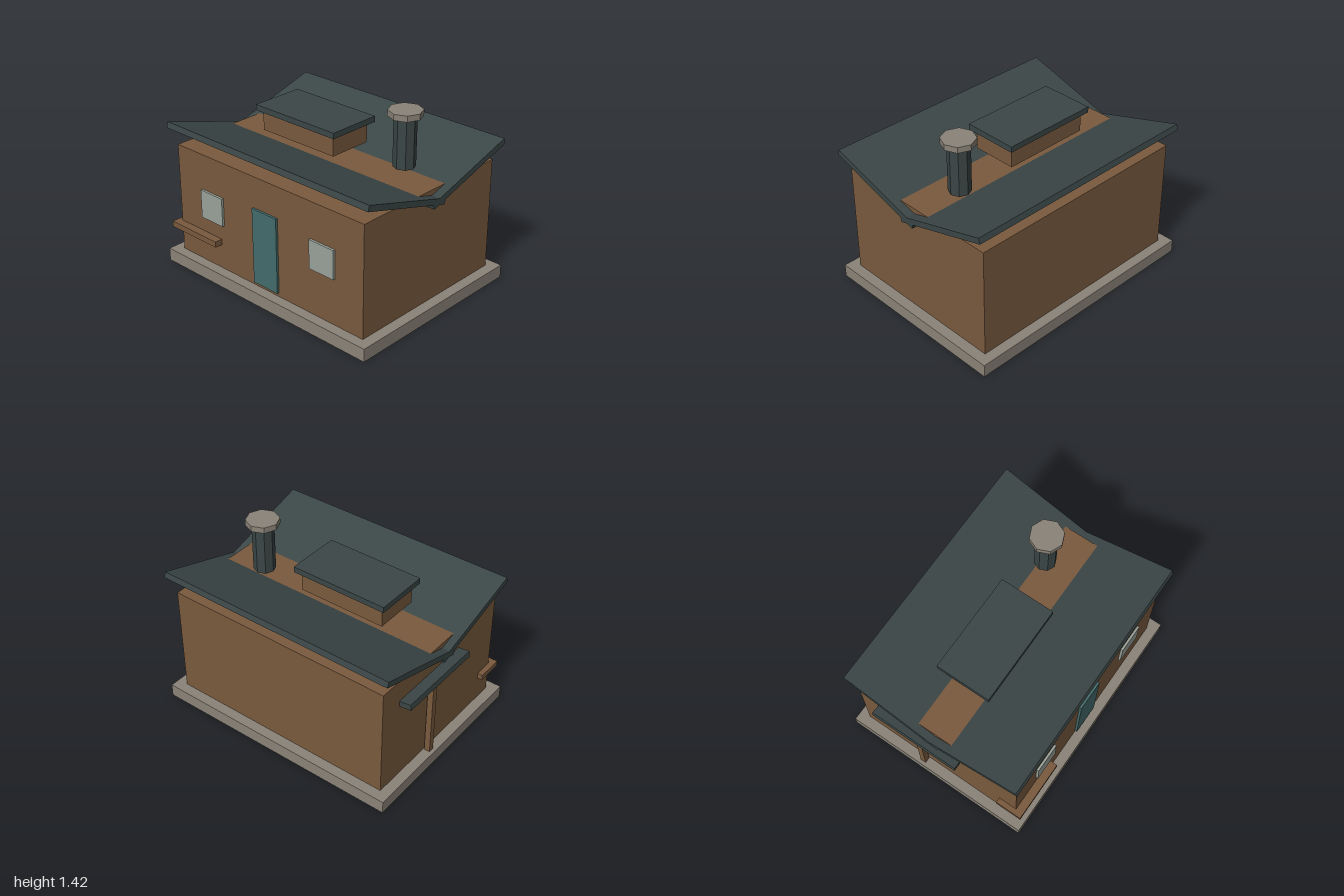
import * as THREE from 'three';

const mat = (color) => new THREE.MeshStandardMaterial({ color, flatShading: true });

export function createModel() {
  const house = new THREE.Group();
  house.name = 'house';
  const stone = mat(0x8a8378), wood = mat(0x7a5a3e), slate = mat(0x3b4646);
  const teal = mat(0x446b6b), glass = mat(0x9aa29a);

  const add = (name, geometry, material, x, y, z) => {
    const mesh = new THREE.Mesh(geometry, material);
    mesh.name = name;
    mesh.position.set(x, y, z);
    house.add(mesh);
    return mesh;
  };
  // Box given by its extents along each axis
  const box = (name, material, [x0, x1], [y0, y1], [z0, z1]) =>
    add(name, new THREE.BoxGeometry(x1 - x0, y1 - y0, z1 - z0), material,
      (x0 + x1) / 2, (y0 + y1) / 2, (z0 + z1) / 2);

  // Foundation and walls
  box('foundation', stone, [-0.985, 0.995], [0, 0.1], [-0.757, 0.757]);
  box('walls', wood, [-0.905, 0.912], [0.1, 0.96], [-0.677, 0.677]);

  // Butterfly roof: two slabs crossing in a central valley
  for (const side of [1, -1]) {
    const slab = add(side > 0 ? 'frontRoofSlab' : 'backRoofSlab',
      new THREE.BoxGeometry(1.945, 0.045, 0.81), slate, 0.0075, 0.993, side * 0.328);
    slab.rotation.x = -side * 0.29;
  }

  // Raised roof vent with flat lid
  box('roofVent', wood, [-0.525, 0.17], [1.03, 1.185], [-0.175, 0.175]);
  box('roofVentLid', slate, [-0.562, 0.21], [1.185, 1.23], [-0.213, 0.213]);

  // Eight-sided chimney
  add('chimney', new THREE.CylinderGeometry(0.082, 0.082, 0.375, 8), slate, 0.585, 1.1875, -0.098);
  add('chimneyCap', new THREE.CylinderGeometry(0.125, 0.125, 0.045, 8), stone, 0.585, 1.3975, -0.098);

  // Door and windows
  box('door', teal, [-0.115, 0.122], [0.13, 0.72], [0.655, 0.695]);
  for (const x of [-0.542, 0.548])
    box('window', glass, [x - 0.112, x + 0.112], [0.46, 0.682], [0.655, 0.695]);

  // Shelf wrapping the front corner
  box('shelf', wood, [-0.945, -0.465], [0.295, 0.34], [0.53, 0.74]);

  // Side awning and its post
  box('awningPost', wood, [-0.957, -0.912], [0.1, 0.715], [-0.157, -0.113]);
  const awning = add('awning', new THREE.BoxGeometry(0.25, 0.045, 0.71), slate, -0.873, 0.758, -0.135);
  awning.rotation.z = -0.13;

  return house;
}
